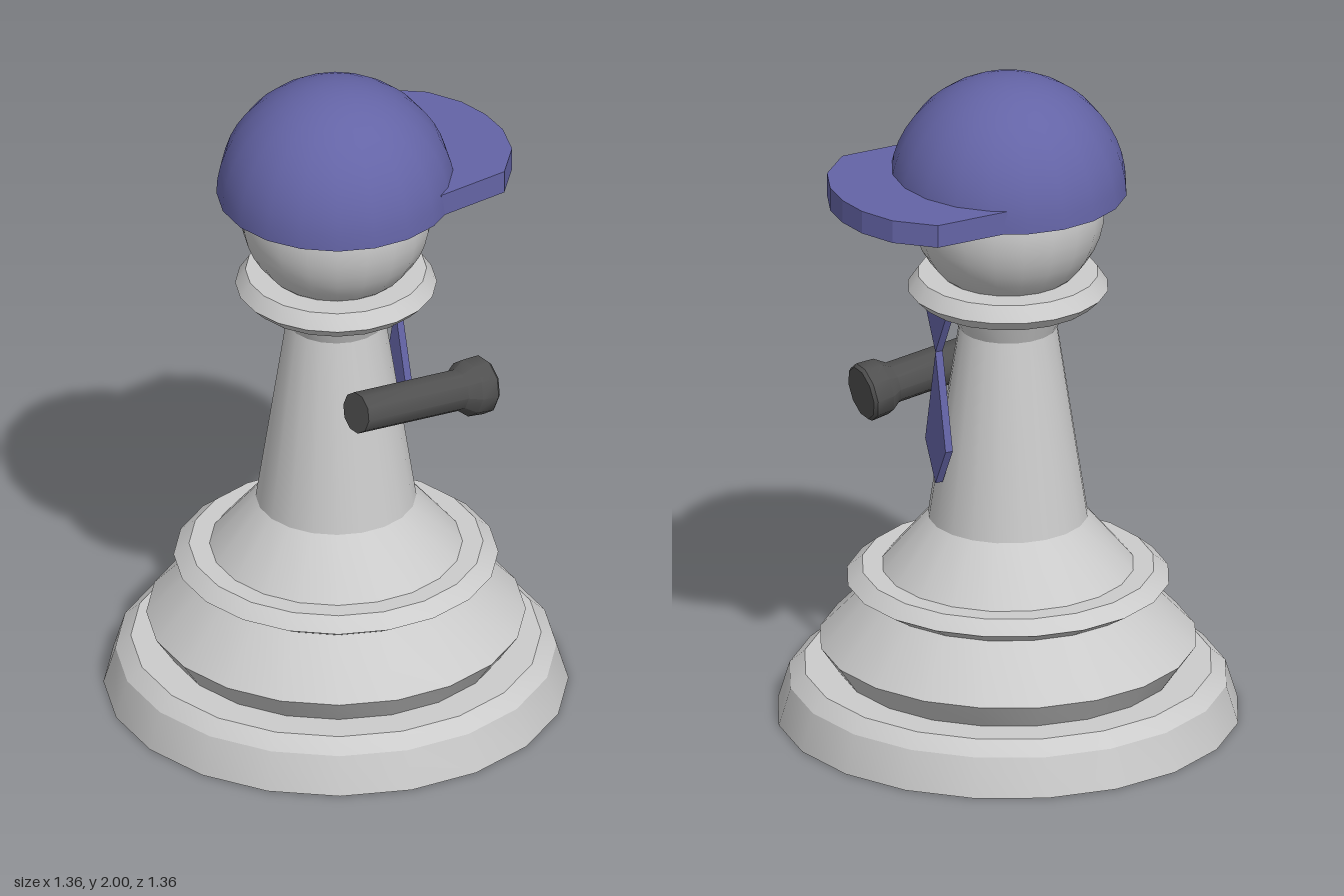
import * as THREE from 'three';
import { toCreasedNormals } from 'three/addons/utils/BufferGeometryUtils.js';

const grey = new THREE.MeshStandardMaterial({ color: 0xcccccc });
const purple = new THREE.MeshStandardMaterial({ color: 0x6464a6 });
const dark = new THREE.MeshStandardMaterial({ color: 0x505050 });

const points = (list) => list.map(([x, y]) => new THREE.Vector2(x, y));

function part(name, geometry, material) {
  const mesh = new THREE.Mesh(geometry, material);
  mesh.name = name;
  return mesh;
}

// Turned solid, smooth around the axis and sharp at the profile corners
function turned(profile, sides, crease) {
  return toCreasedNormals(new THREE.LatheGeometry(points(profile), sides), crease);
}

function slab(outline, depth) {
  return new THREE.ExtrudeGeometry(new THREE.Shape(points(outline)), { depth, bevelEnabled: false });
}

export function createModel() {
  const model = new THREE.Group();
  model.name = 'cappedPawn';

  // Stepped base, tapering stem and collar
  model.add(part('body', turned([
    [0, 0], [0.68, 0], [0.645, 0.115], [0.6, 0.155], [0.5, 0.155],
    [0.555, 0.235], [0.41, 0.388], [0.475, 0.428], [0.43, 0.465], [0.37, 0.465],
    [0.235, 0.625], [0.145, 1.22], [0.18, 1.31], [0.26, 1.31],
    [0.295, 1.345], [0.265, 1.39], [0, 1.39],
  ], 20, 0.42), grey));

  // Round head
  const head = part('head', new THREE.SphereGeometry(0.285, 20, 20), grey);
  head.position.y = 1.6;
  model.add(head);

  // Cap: closed half dome with a flat visor
  const cap = new THREE.Group();
  cap.name = 'cap';
  const dome = [[0, 0]];
  for (let i = 0; i <= 12; i++) {
    const a = (i / 12) * Math.PI / 2;
    dome.push([0.35 * Math.cos(a), 0.35 * Math.sin(a)]);
  }
  cap.add(part('capDome', turned(dome, 20, 0.42), purple));
  const visor = part('capVisor', slab([
    [0.16, -0.3], [0.39, -0.3], [0.49, -0.205], [0.535, -0.1], [0.547, 0],
    [0.535, 0.1], [0.49, 0.205], [0.39, 0.3], [0.16, 0.3],
  ], 0.07), purple);
  visor.rotation.x = Math.PI / 2;
  visor.position.y = 0.07;
  cap.add(visor);
  cap.position.y = 1.65;
  model.add(cap);

  // Necktie: triangular knot above a long diamond
  const tie = new THREE.Group();
  tie.name = 'necktie';
  tie.add(part('tieKnot', slab([[0, 1.18], [0.065, 1.31], [-0.065, 1.31]], 0.024), purple));
  tie.add(part('tieBlade', slab([[0, 0.765], [0.064, 0.885], [0, 1.18], [-0.064, 0.885]], 0.024), purple));
  tie.rotation.y = Math.PI / 2;
  tie.position.x = 0.216;
  model.add(tie);

  // Flashlight, tilted slightly downward beside the stem
  const flashlight = part('flashlight', turned([
    [0, 0], [0.062, 0], [0.062, 0.37], [0.085, 0.405], [0.088, 0.46], [0.08, 0.47], [0, 0.47],
  ], 10, 0.7), dark);
  flashlight.position.set(-0.107, 1.05, 0.24);
  flashlight.rotation.z = -Math.PI / 2 - 0.139;
  model.add(flashlight);

  return model;
}
